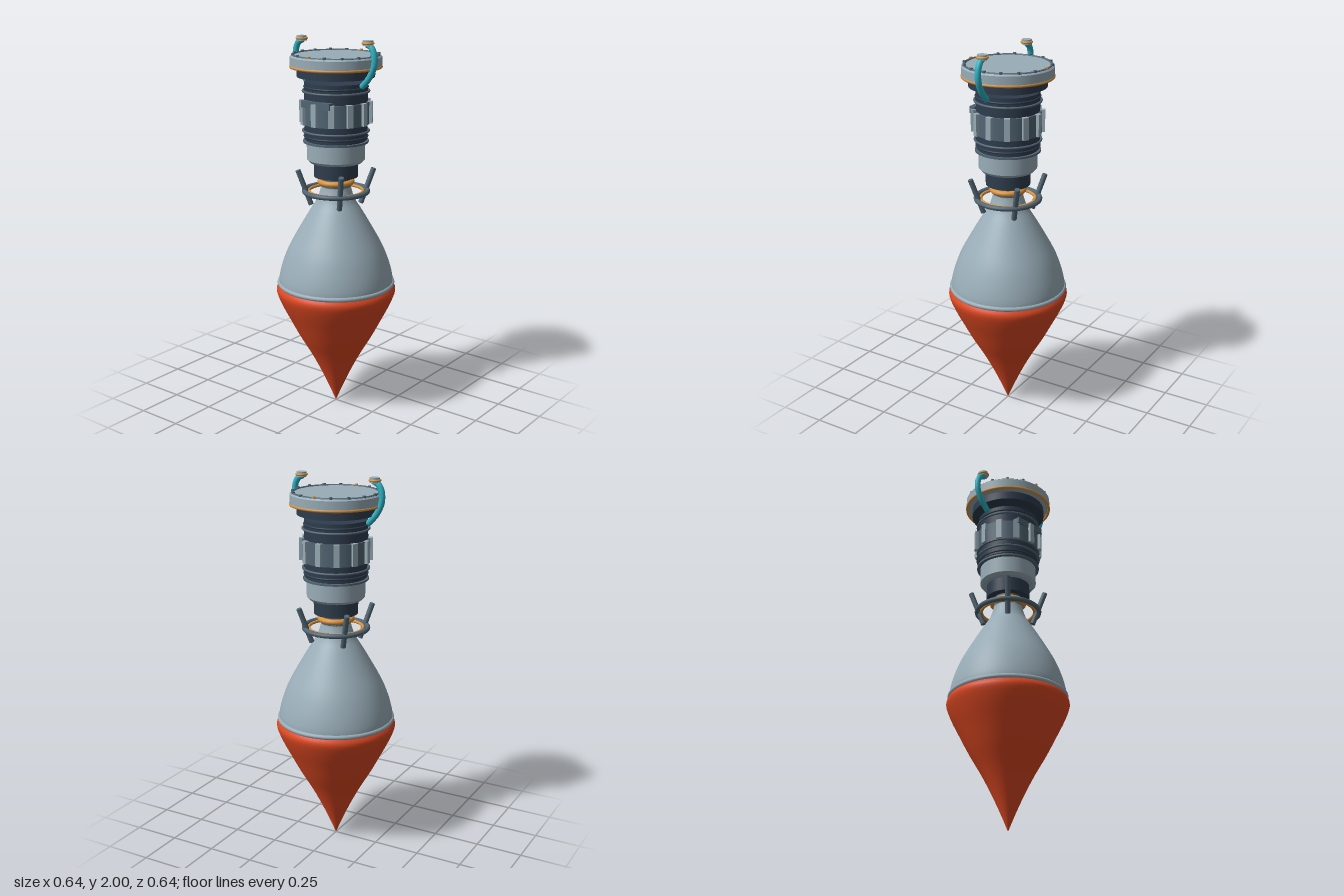
import * as THREE from 'three';

const mat = (name, color) => {
  const m = new THREE.MeshStandardMaterial({ color });
  m.name = name;
  return m;
};

export function createModel() {
  const model = new THREE.Group();
  const light = mat('light grey metal', 0x99adb8);
  const slate = mat('slate metal', 0x526674);
  const navy = mat('dark navy metal', 0x2f3d4e);
  const orange = mat('copper orange', 0xd8933f);
  const red = mat('flame red', 0xdd4822);
  const teal = mat('teal pipe', 0x2fb3c4);
  red.side = light.side = THREE.DoubleSide;

  const add = (name, geo, material, x = 0, y = 0, z = 0, parent = model) => {
    const mesh = new THREE.Mesh(geo, material);
    mesh.name = name;
    mesh.position.set(x, y, z);
    parent.add(mesh);
    return mesh;
  };
  // upright drum between two heights
  const drum = (name, r, y0, y1, material, rBottom = r) =>
    add(name, new THREE.CylinderGeometry(r, rBottom, y1 - y0, 48), material, 0, (y0 + y1) / 2);
  // horizontal ring
  const ring = (name, r, tube, y, material, x = 0, z = 0) => {
    const mesh = add(name, new THREE.TorusGeometry(r, tube, 12, 64), material, x, y, z);
    mesh.rotation.x = Math.PI / 2;
    return mesh;
  };
  // smooth lathe through a few [radius, height] points
  const smoothLathe = (name, pts, material) => {
    const curve = new THREE.SplineCurve(pts.map(p => new THREE.Vector2(...p)));
    return add(name, new THREE.LatheGeometry(curve.getPoints(32), 64), material);
  };
  // round bar between two points
  const bar = (name, a, b, r, material) => {
    const dir = b.clone().sub(a);
    const mesh = add(name, new THREE.CylinderGeometry(r, r, dir.length(), 12), material);
    mesh.position.copy(a).add(b).multiplyScalar(0.5);
    mesh.quaternion.setFromUnitVectors(new THREE.Vector3(0, 1, 0), dir.normalize());
  };

  // Flame and bell
  smoothLathe('flame', [[0, 0], [0.042, 0.1], [0.088, 0.2], [0.14, 0.3], [0.198, 0.4],
    [0.25, 0.5], [0.295, 0.59], [0.32, 0.66], [0.306, 0.695]], red);
  smoothLathe('nozzleBell', [[0.306, 0.7], [0.303, 0.74], [0.285, 0.81], [0.25, 0.9],
    [0.19, 1.01], [0.137, 1.1], [0.1, 1.16], [0.08, 1.22], [0.078, 1.24]], light);
  ring('nozzleLip', 0.302, 0.013, 0.703, light);

  // Throat with its rings and struts
  drum('throat', 0.078, 1.22, 1.29, slate);
  ring('throatRing', 0.083, 0.015, 1.255, orange);
  ring('gimbalRing', 0.167, 0.013, 1.205, slate);
  ring('gimbalInnerRing', 0.143, 0.008, 1.205, orange);
  for (let i = 0; i < 4; i++) {
    const a = Math.PI / 4 + i * Math.PI / 2;
    const at = (r, y) => new THREE.Vector3(Math.cos(a) * r, y, Math.sin(a) * r);
    bar('gimbalStrut', at(0.132, 1.135), at(0.2, 1.32), 0.014, slate);
  }

  // Lower housing
  drum('neck', 0.116, 1.285, 1.365, navy);
  drum('lowerHousingChamfer', 0.152, 1.362, 1.377, light, 0.138);
  drum('lowerHousing', 0.152, 1.377, 1.468, light);
  drum('housingFlange', 0.17, 1.467, 1.477, slate);

  // Ribbed main body
  drum('mainBodyBase', 0.155, 1.477, 1.5, navy);
  drum('mainBody', 0.163, 1.485, 1.78, navy);
  for (const y of [1.528, 1.733]) ring('bodyRib', 0.17, 0.006, y, slate);
  for (const y of [1.5, 1.755]) ring('bodyBead', 0.163, 0.005, y, navy);
  drum('middleBand', 0.174, 1.565, 1.68, slate);
  for (let i = 0; i < 12; i++) {
    const a = i * Math.PI / 6;
    const post = add('bandPost', new THREE.BoxGeometry(0.03, 0.115, 0.024), light,
      Math.sin(a) * 0.177, 1.625, Math.cos(a) * 0.177);
    post.rotation.y = a;
  }
  add('frontPlate', new THREE.BoxGeometry(0.18, 0.035, 0.03), slate, 0, 1.677, 0.16);

  // Top flange
  drum('flangeCollar', 0.2, 1.805, 1.85, navy);
  ring('flangeSeal', 0.23, 0.008, 1.857, orange);
  drum('flange', 0.235, 1.86, 1.907, light);
  drum('flangeBevel', 0.228, 1.907, 1.914, light, 0.235);
  ring('flangeGasket', 0.219, 0.007, 1.913, slate);
  for (let i = 0; i < 16; i++) {
    const a = i * Math.PI / 8;
    add('flangeBolt', new THREE.CylinderGeometry(0.0085, 0.0085, 0.016, 10),
      i % 8 === 4 ? orange : slate, Math.cos(a) * 0.221, 1.916, Math.sin(a) * 0.221);
  }

  // Side pipes with capped ends
  for (const s of [-1, 1]) {
    const z = 0.016;
    const path = new THREE.CatmullRomCurve3([[0.18, 1.772], [0.222, 1.82], [0.249, 1.88],
      [0.247, 1.935], [0.23, 1.967], [0.21, 1.978]].map(([x, y]) => new THREE.Vector3(s * x, y, z)));
    add('sidePipe', new THREE.TubeGeometry(path, 32, 0.016, 14), teal);
    for (const t of [0, 1]) {
      const p = path.getPoint(t);
      add('pipeEnd', new THREE.SphereGeometry(0.016, 14, 10), teal, p.x, p.y, p.z);
    }
    ring('pipeCapRing', 0.026, 0.006, 1.986, orange, s * 0.21, z);
    add('pipeCap', new THREE.CylinderGeometry(0.026, 0.026, 0.026, 24), light, s * 0.21, 1.987, z);
  }
  return model;
}
